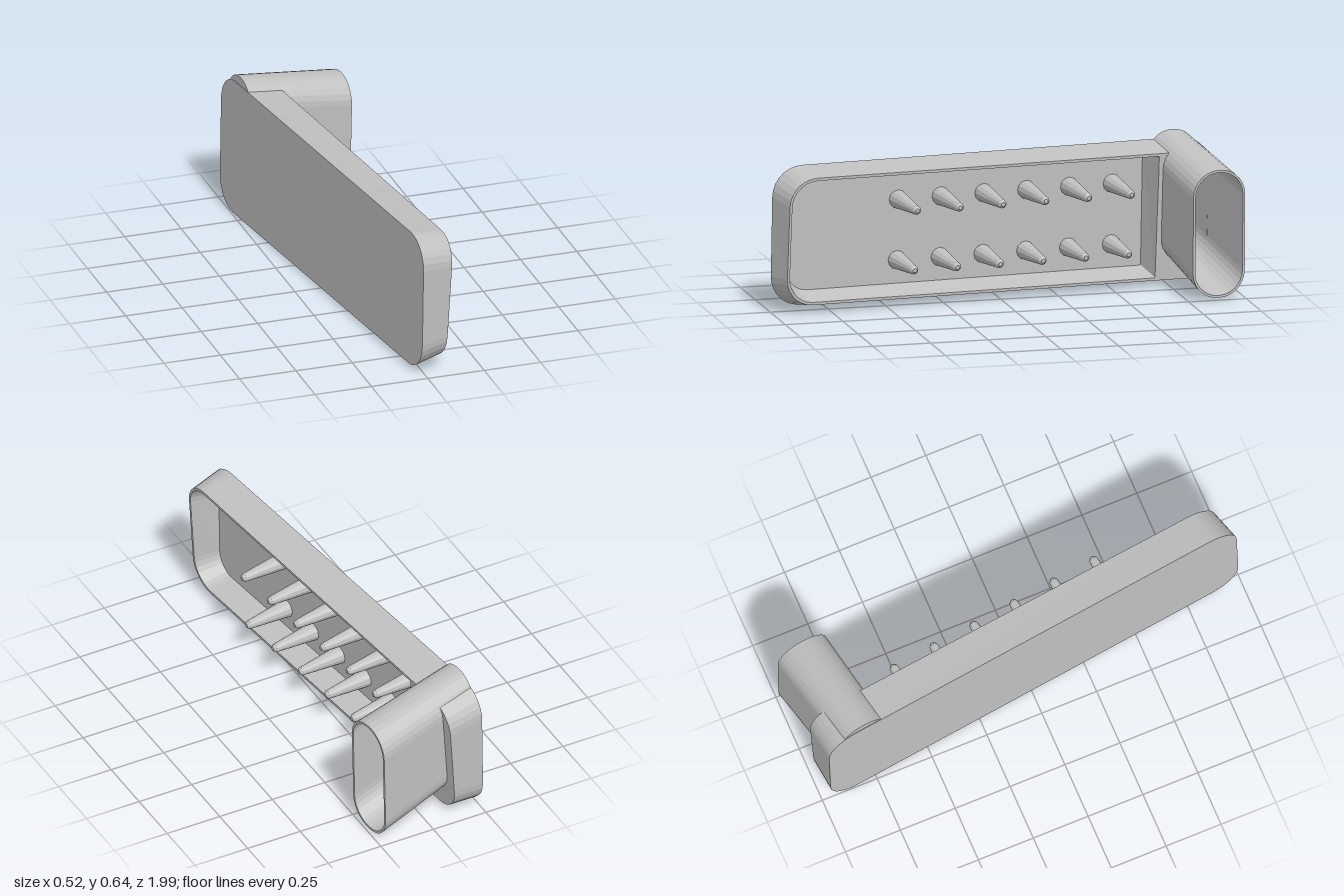
import * as THREE from 'three';

// Rounded outline as [z, y] pairs, counter-clockwise seen from +x.
function outline(z0, z1, y0, y1, rFront, rBack, n = 7) {
  const pts = [];
  const corner = (z, y, r, start) => {
    for (let i = 0; i <= n; i++) {
      const a = start + (i / n) * Math.PI / 2;
      pts.push([z - r * Math.cos(a), y + r * Math.sin(a)]);
    }
  };
  corner(z0 + rBack, y1 - rBack, rBack, 0);
  corner(z1 - rFront, y1 - rFront, rFront, Math.PI / 2);
  corner(z1 - rFront, y0 + rFront, rFront, Math.PI);
  corner(z0 + rBack, y0 + rBack, rBack, Math.PI * 1.5);
  return pts;
}

// Place an outline at a depth given by a rule x = f(z, y).
const place = (pts, f) => pts.map(([z, y]) => [f(z, y), y, z]);

// Faceted skin through a list of loops, with optional end caps.
function loft(loops, capStart, capEnd) {
  const n = loops[0].length, index = [];
  for (let k = 0; k < loops.length - 1; k++) {
    for (let i = 0; i < n; i++) {
      const j = (i + 1) % n;
      const a = k * n + i, b = k * n + j, c = b + n, d = a + n;
      index.push(a, b, c, a, c, d);
    }
  }
  const last = (loops.length - 1) * n;
  for (let i = 1; i < n - 1; i++) {
    if (capStart) index.push(0, i + 1, i);
    if (capEnd) index.push(last, last + i, last + i + 1);
  }
  const g = new THREE.BufferGeometry();
  g.setAttribute('position', new THREE.Float32BufferAttribute(loops.flat(2), 3));
  g.setIndex(index);
  return facet(g);
}

function facet(g) {
  const flat = g.index ? g.toNonIndexed() : g;
  flat.computeVertexNormals();
  return flat;
}

export function createModel() {
  const model = new THREE.Group();
  model.name = 'pegTrayWithSleeve';
  const grey = new THREE.MeshStandardMaterial({ color: 0xc0c0c0, side: THREE.DoubleSide });
  grey.name = 'plain grey';
  const add = (parent, name, geometry) => {
    const m = new THREE.Mesh(geometry, grey);
    m.name = name;
    parent.add(m);
    return m;
  };

  // Tray frame: local x = depth, y = up, z = length, slightly skewed in space
  const tray = new THREE.Group();
  tray.name = 'tray';
  const along = new THREE.Vector3(0.235, 0.02, 1.965).normalize();
  const depth = new THREE.Vector3(-0.02, 1, -0.008).cross(along).normalize();
  depth.set(depth.x, -0.02, depth.z).normalize();
  const up = new THREE.Vector3().crossVectors(along, depth).normalize();
  depth.crossVectors(up, along).normalize();
  tray.applyMatrix4(new THREE.Matrix4().makeBasis(depth, up, along));
  tray.position.set(-0.135, 0.312, 0.012);
  model.add(tray);

  // Sloping plane of the rim
  const rimDepth = (z, y) => 0.145 + 0.05 * y - 0.009 * z;
  const base = outline(-0.985, 0.985, -0.301, 0.301, 0.13, 0.13);
  const rimOuter = outline(-0.985, 0.961, -0.277, 0.277, 0.12, 0.12);
  const rimInner = outline(-0.695, 0.95, -0.265, 0.265, 0.11, 0.004);
  const floorInner = outline(-0.675, 0.92, -0.235, 0.235, 0.09, 0.004);
  const sleeveHole = outline(-0.92, -0.73, -0.195, 0.255, 0.09, 0.09);

  add(tray, 'trayShell', loft([place(base, () => 0), place(rimOuter, rimDepth)], true, false));
  add(tray, 'trayCavity', loft([place(rimInner, rimDepth), place(floorInner, () => 0.02)], false, true));

  // Rim face with openings for the cavity and the sleeve
  const toV2 = (pts) => pts.map(([z, y]) => new THREE.Vector2(-z, y));
  const rimShape = new THREE.Shape(toV2(rimOuter));
  rimShape.holes.push(new THREE.Path(toV2(rimInner)), new THREE.Path(toV2(sleeveHole)));
  const rim = new THREE.ShapeGeometry(rimShape);
  const p = rim.attributes.position;
  for (let i = 0; i < p.count; i++) {
    const z = -p.getX(i), y = p.getY(i);
    p.setXYZ(i, rimDepth(z, y), y, z);
  }
  add(tray, 'trayRim', facet(rim));

  // Two rows of tapered pegs standing on the tray floor
  for (const [row, y, len] of [['upperPeg', 0.128, 0.23], ['lowerPeg', -0.134, 0.21]]) {
    const profile = [[0.04, 0], [0.019, len - 0.012], [0.009, len], [0, len]]
      .map(([r, h]) => new THREE.Vector2(r, h));
    const pegGeometry = facet(new THREE.LatheGeometry(profile, 12));
    for (let i = 0; i < 6; i++) {
      const peg = add(tray, row + (i + 1), pegGeometry);
      peg.rotation.z = -Math.PI / 2;
      peg.position.set(0.018, y, 0.425 - i * 0.193);
    }
  }

  // Oblong sleeve, closed at the tray floor and open at the far end
  const section = (x, y, z, halfY, halfZ, lean) => {
    const r = halfZ * 0.96;
    return place(outline(z - halfZ, z + halfZ, y - halfY, y + halfY, r, r),
      (pz, py) => x + lean * (pz - z) + 0.02 * (py - y));
  };
  add(model, 'sleeve', loft([
    section(-0.228, 0.39, -0.8, 0.252, 0.106, 0.12),
    section(0.245, 0.286, -0.883, 0.275, 0.116, 0.13),
    section(0.245, 0.286, -0.883, 0.265, 0.106, 0.13),
    section(-0.205, 0.385, -0.797, 0.242, 0.096, 0.12),
  ], true, true));

  return model;
}
